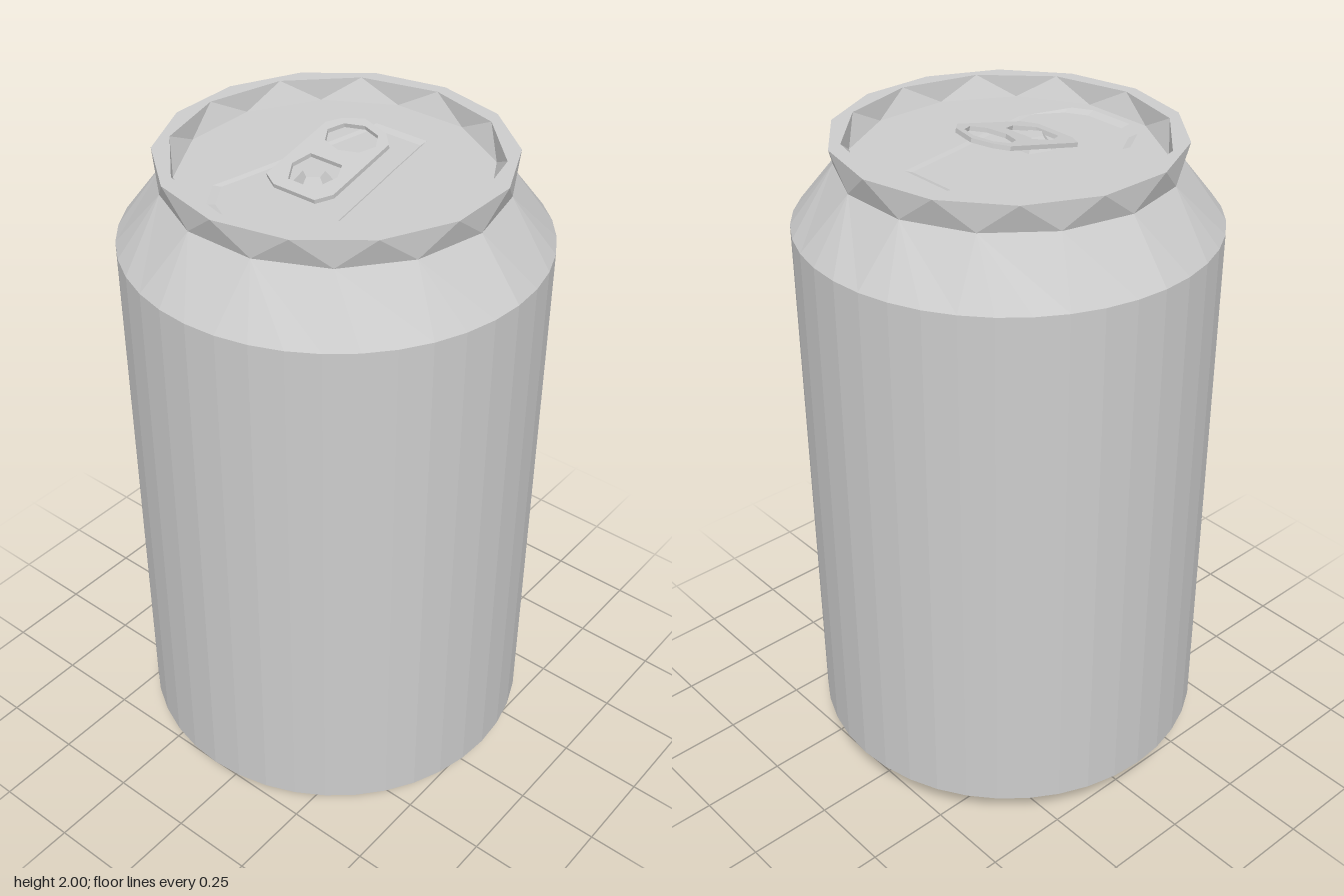
import * as THREE from 'three';

const metal = new THREE.MeshStandardMaterial({ color: 0xcccccc, flatShading: true, side: THREE.DoubleSide });

// Regular ring of n points; turn is a fraction of one step
function ring(n, r, y, turn = 0) {
  return Array.from({ length: n }, (_, i) => {
    const a = ((i + turn) / n) * Math.PI * 2;
    return new THREE.Vector3(r * Math.sin(a), y, r * Math.cos(a));
  });
}

// Angles of a ring's points, counted upwards from the front
function angles(points) {
  return points.map(p => {
    const a = Math.atan2(p.x, p.z);
    return a < -1e-6 ? a + Math.PI * 2 : a;
  });
}

// Joins successive rings, which may have different numbers of sides
function loft(name, ...rings) {
  const pos = [];
  const tri = (...pts) => pts.forEach(p => pos.push(p.x, p.y, p.z));
  for (let k = 0; k + 1 < rings.length; k++) {
    const A = rings[k], B = rings[k + 1];
    const angA = angles(A), angB = angles(B);
    const next = (ang, i) => ang[(i + 1) % ang.length] + Math.PI * 2 * Math.floor((i + 1) / ang.length);
    let i = 0, j = 0;
    while (i < A.length || j < B.length) {
      const a = A[i % A.length], b = B[j % B.length];
      if (j >= B.length || (i < A.length && next(angA, i) <= next(angB, j))) {
        if (A.length > 1) tri(a, A[(i + 1) % A.length], b);
        i++;
      } else {
        if (B.length > 1) tri(a, B[(j + 1) % B.length], b);
        j++;
      }
    }
  }
  const geo = new THREE.BufferGeometry();
  geo.setAttribute('position', new THREE.Float32BufferAttribute(pos, 3));
  geo.computeVertexNormals();
  const mesh = new THREE.Mesh(geo, metal);
  mesh.name = name;
  return mesh;
}

// Egg-shaped panel outline, mirrored about x = 0
function panelRing(scale, y) {
  const half = [[0.07, 0.385], [0.135, 0.35], [0.19, 0.265], [0.176, 0.2], [0.157, 0.1],
    [0.138, 0], [0.118, -0.1], [0.1, -0.2], [0.085, -0.28]];
  const all = [...half, ...half.map(([x, z]) => [-x, z]).reverse()];
  return all.map(([x, z]) => new THREE.Vector3(x * scale, y, z * scale));
}

function pullTab() {
  const tab = new THREE.Group();
  tab.name = 'pullTab';

  // Plate with a finger hole and a rivet opening
  const v = pts => pts.map(([x, z]) => new THREE.Vector2(x, -z));
  const shape = new THREE.Shape(v([[-0.02, -0.15], [0.07, -0.125], [0.105, -0.09], [0.105, 0.14],
    [0.075, 0.18], [-0.06, 0.18], [-0.105, 0.155], [-0.105, -0.09], [-0.075, -0.125]]));
  const finger = new THREE.Path();
  finger.absellipse(0, 0.067, 0.08, 0.057, 0, Math.PI * 2, true);
  const opening = new THREE.Path(v([[-0.055, 0.035], [0.05, 0.035], [0.07, 0.08],
    [0.045, 0.145], [-0.04, 0.145], [-0.072, 0.09]]));
  shape.holes.push(finger, opening);
  const geo = new THREE.ExtrudeGeometry(shape, { depth: 0.012, bevelEnabled: false, curveSegments: 4 });
  geo.rotateX(-Math.PI / 2);
  const plate = new THREE.Mesh(geo, metal);
  plate.name = 'tabPlate';
  plate.rotation.x = 0.22;
  plate.position.y = 1.955;
  tab.add(plate);

  // Rivet holding the plate to the lid
  const rivet = new THREE.Mesh(new THREE.CylinderGeometry(0.03, 0.058, 0.035, 5), metal);
  rivet.name = 'rivet';
  rivet.position.set(0, 1.926, 0.09);
  tab.add(rivet);
  return tab;
}

export function createModel() {
  const model = new THREE.Group();
  model.name = 'drinkCan';
  const centre = y => [new THREE.Vector3(0, y, 0)];

  // Shared rings, from the base upwards
  const baseFloor = ring(12, 0.38, 0.065, 0.5);
  const baseLip = ring(12, 0.425, 0);
  const baseBend = ring(14, 0.51, 0.07, 0.5);
  const bodyLow = ring(40, 0.585, 0.135);
  const bodyHigh = ring(40, 0.585, 1.735);
  const neck = ring(14, 0.462, 1.895, 0.5);
  const rimOuter = ring(14, 0.477, 1.975);
  const rimInner = ring(12, 0.44, 1.975);
  const lidEdge = ring(12, 0.422, 1.915, 0.5);
  const panelTop = panelRing(1, 1.915);
  const panelLow = panelRing(0.93, 1.908);

  model.add(
    loft('baseRecess', centre(0.065), baseFloor, baseLip),
    loft('baseTaper', baseLip, baseBend, bodyLow),
    loft('body', bodyLow, bodyHigh),
    loft('shoulder', bodyHigh, neck),
    loft('rim', neck, rimOuter, rimInner, lidEdge),
    loft('lid', lidEdge, panelTop),
    loft('lidPanel', panelTop, panelLow, centre(1.908)),
    pullTab()
  );
  return model;
}
